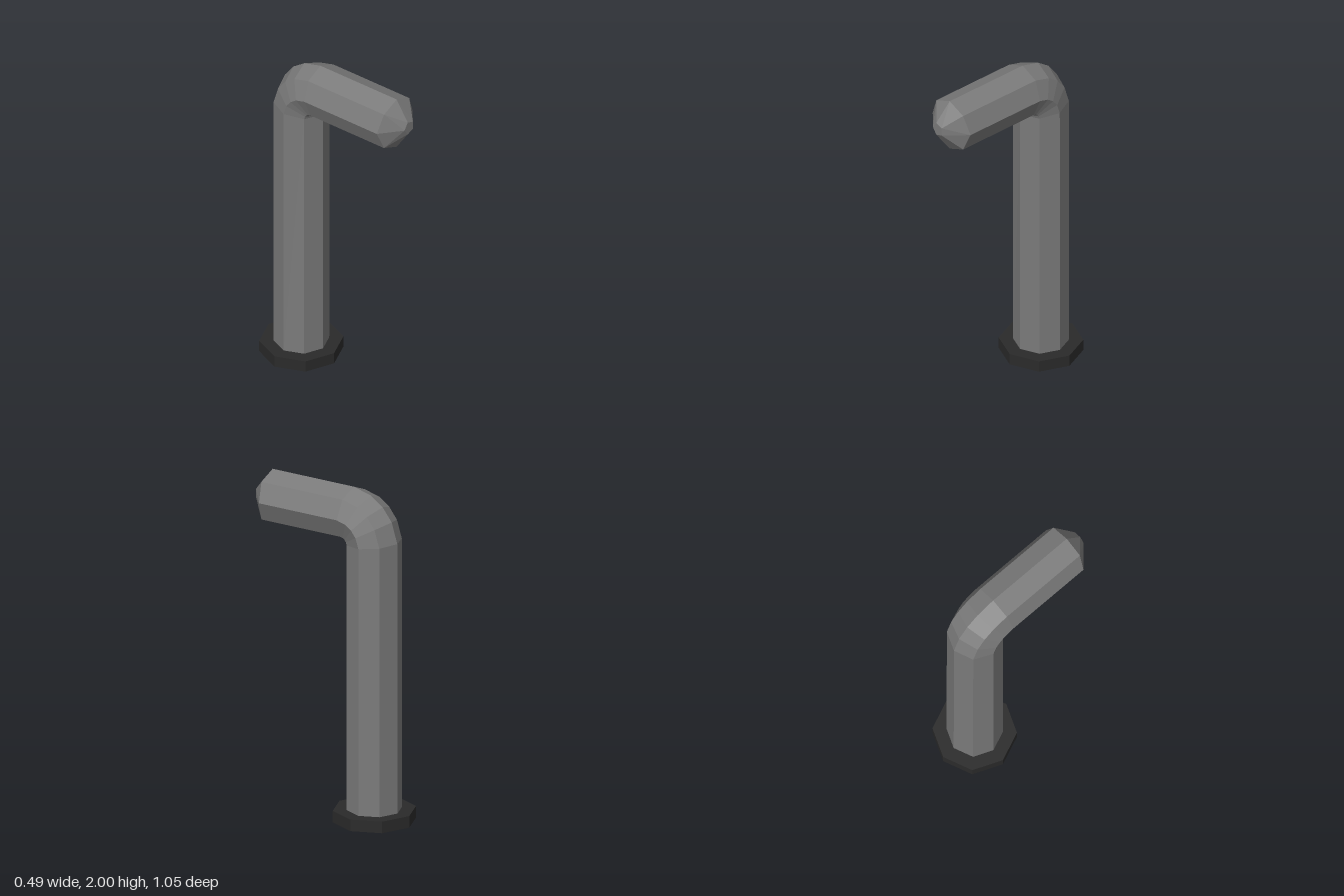
import * as THREE from 'three';
import { ConvexGeometry } from 'three/addons/geometries/ConvexGeometry.js';

const SIDES = 8;
const RADIUS = 0.162;
const COLUMN_Z = -0.28;
const BEND = 0.165; // bend radius of the pipe's centre line
const PIVOT = { y: 2 - RADIUS - BEND, z: COLUMN_Z + BEND };

const flat = (color) => new THREE.MeshStandardMaterial({ color, flatShading: true });

// Octagonal section facing along the pipe: angle 0 points up, PI/2 points forward
function section(y, z, angle) {
  return Array.from({ length: SIDES }, (_, i) => {
    const t = (i / SIDES) * Math.PI * 2;
    const out = RADIUS * Math.cos(t);
    return new THREE.Vector3(RADIUS * Math.sin(t), y + out * Math.sin(angle), z - out * Math.cos(angle));
  });
}

// Skin a list of sections into a tube
function skin(sections) {
  const pos = [];
  for (let i = 0; i < sections.length - 1; i++) {
    for (let j = 0; j < SIDES; j++) {
      const k = (j + 1) % SIDES;
      const [a, b, c, d] = [sections[i][j], sections[i + 1][j], sections[i][k], sections[i + 1][k]];
      for (const p of [a, b, c, b, d, c]) pos.push(p.x, p.y, p.z);
    }
  }
  const geo = new THREE.BufferGeometry();
  geo.setAttribute('position', new THREE.Float32BufferAttribute(pos, 3));
  geo.computeVertexNormals();
  return geo;
}

export function createModel() {
  const group = new THREE.Group();
  const add = (name, geo, mat) => {
    const mesh = new THREE.Mesh(geo, mat);
    mesh.name = name;
    group.add(mesh);
    return mesh;
  };
  const pipeMat = flat(0x7a7a7a);

  // Pipe: upright column, elbow in a few steps, forward arm
  const sections = [section(0.03, COLUMN_Z, 0)];
  for (const deg of [6, 29, 47, 64, 86]) {
    const a = THREE.MathUtils.degToRad(deg);
    sections.push(section(PIVOT.y + BEND * Math.sin(a), PIVOT.z - BEND * Math.cos(a), a));
  }
  const end = section(PIVOT.y + BEND, 0.43, Math.PI / 2);
  end[2].z = end[6].z = 0.415;
  sections.push(end);
  add('pipe', skin(sections), pipeMat);

  // Faceted end cap tapering to a small pentagon
  const tip = Array.from({ length: 5 }, (_, i) => {
    const t = Math.PI + (i / 5) * Math.PI * 2;
    return new THREE.Vector3(0.042 * Math.cos(t), 1.845 + 0.042 * Math.sin(t), 0.523);
  });
  add('endCap', new ConvexGeometry([...end, ...tip]), pipeMat);

  // Base flange
  const base = add('baseFlange', new THREE.CylinderGeometry(0.244, 0.244, 0.07, SIDES), flat(0x2a2a2a));
  base.position.set(0, 0.035, COLUMN_Z);

  return group;
}
